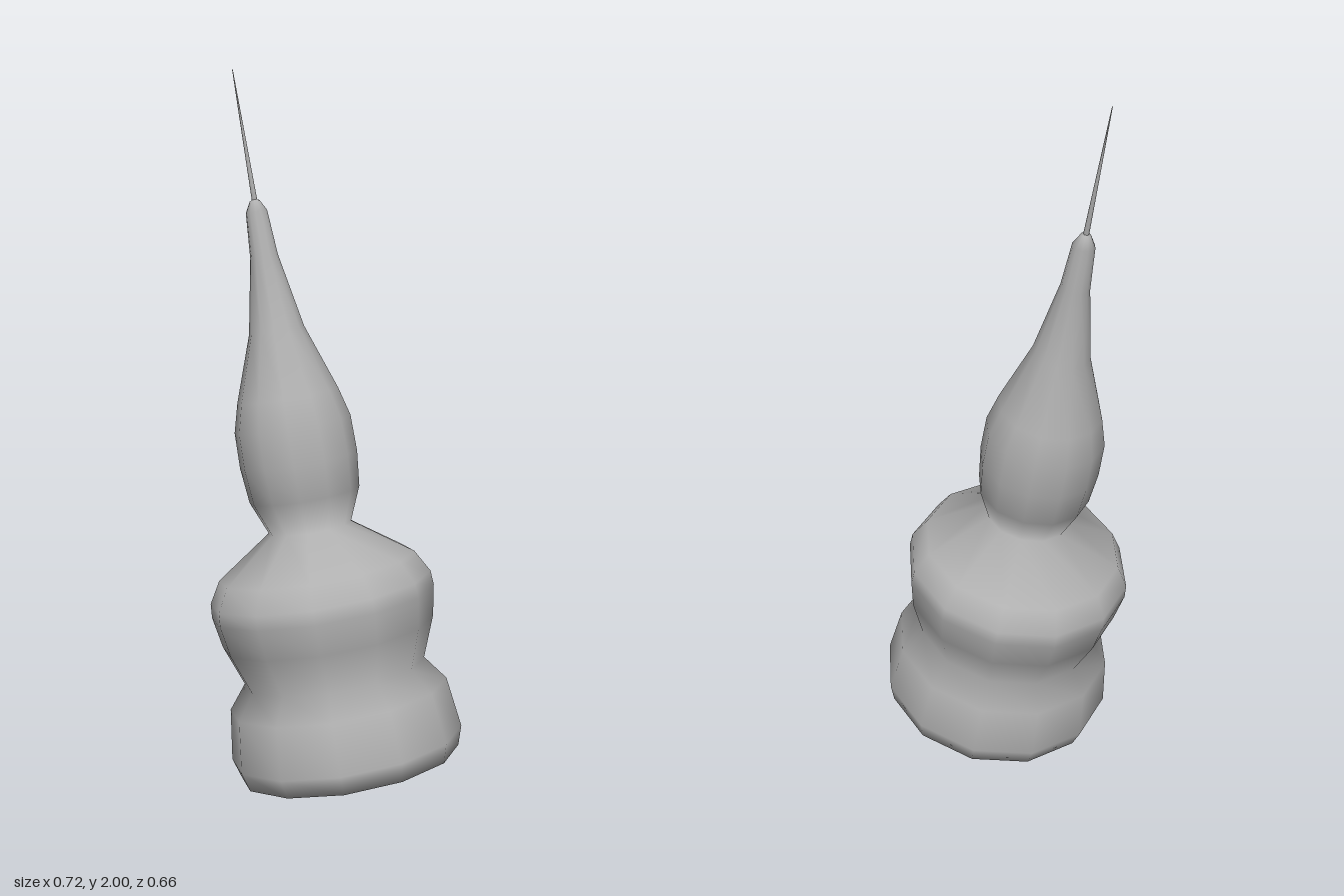
import * as THREE from 'three';

// Leaning turned spire: one smooth 12-sided lathe per part, stacked on a tilted axis
export function createModel() {
  const model = new THREE.Group();
  model.name = 'leaningSpire';
  const grey = new THREE.MeshStandardMaterial({ color: 0xb0b0b0 });
  grey.name = 'grey';

  const axis = new THREE.Group();
  axis.name = 'tiltedAxis';
  axis.position.set(0.04, 0.064, 0);
  axis.rotation.set(0.005, 0, THREE.MathUtils.degToRad(11));
  model.add(axis);

  // Profiles are [radius, height along the axis], from bottom to top
  function turned(name, profile, sides) {
    const points = profile.map(([r, h]) => new THREE.Vector2(r, h));
    const mesh = new THREE.Mesh(new THREE.LatheGeometry(points, sides), grey);
    mesh.name = name;
    axis.add(mesh);
  }

  // Foot, bulb and tapering neck form one continuous skin
  turned('body', [
    [0, 0], [0.315, 0], [0.332, 0.054], [0.312, 0.198],
    [0.259, 0.267], [0.303, 0.382], [0.319, 0.47], [0.316, 0.51], [0.28, 0.573],
    [0.118, 0.686], [0.157, 0.78], [0.167, 0.88], [0.165, 0.982], [0.143, 1.064],
    [0.078, 1.248], [0.039, 1.455], [0.03, 1.58], [0.014, 1.61], [0, 1.617],
  ], 12);

  // Fine needle at the tip
  turned('needle', [[0.008, 1.59], [0.006, 1.7], [0.001, 1.972]], 6);

  return model;
}
